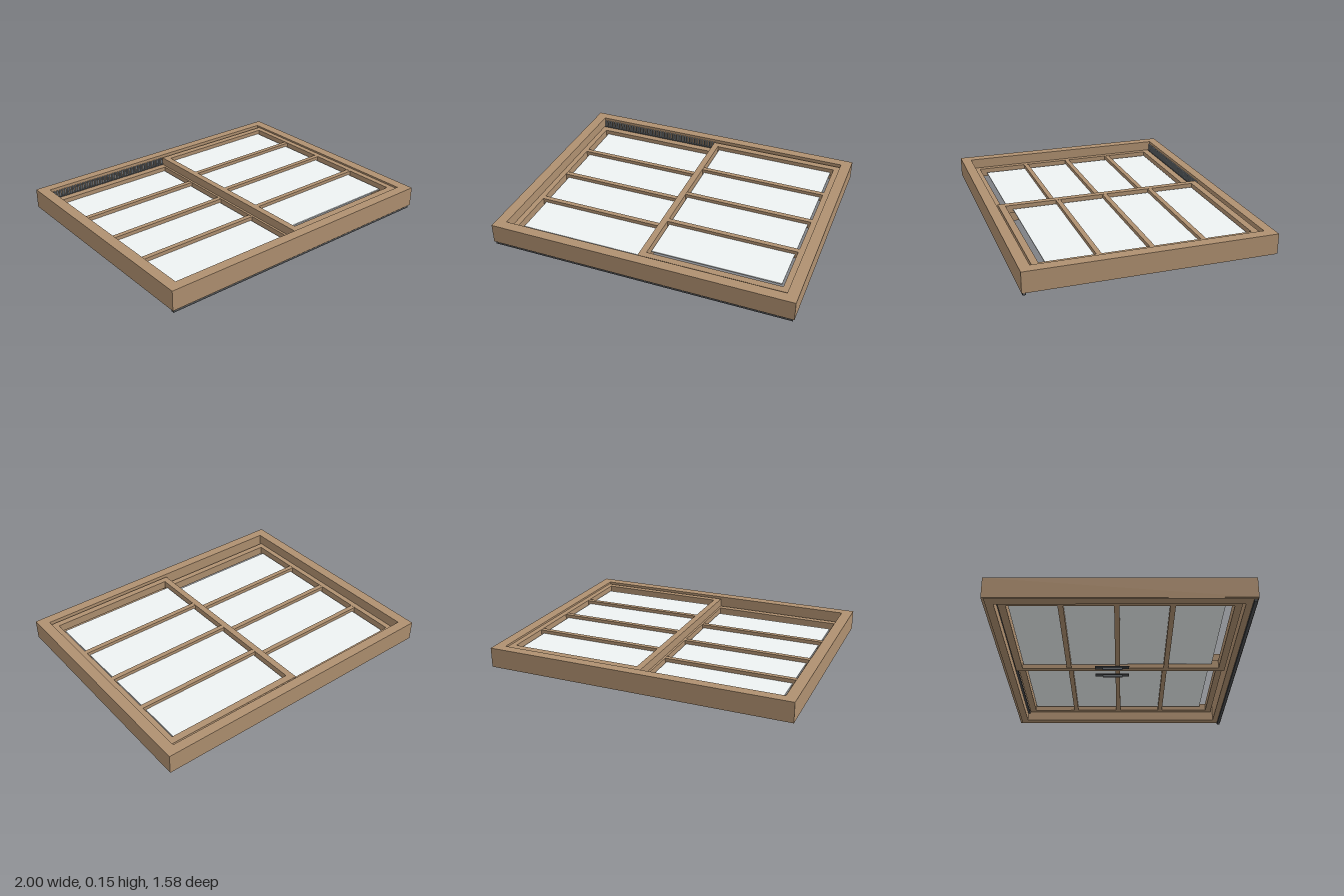
import * as THREE from 'three';

const wood = new THREE.MeshStandardMaterial({ color: 0xaf9070 });
const metal = new THREE.MeshStandardMaterial({ color: 0x4a4d50 });
const lightMetal = new THREE.MeshStandardMaterial({ color: 0x858b90 });
const pane = new THREE.MeshStandardMaterial({ color: 0xeef2f2 });

// Box given by its min and max on each axis
function box(parent, name, material, [x0, x1], [y0, y1], [z0, z1]) {
  const mesh = new THREE.Mesh(new THREE.BoxGeometry(x1 - x0, y1 - y0, z1 - z0), material);
  mesh.position.set((x0 + x1) / 2, (y0 + y1) / 2, (z0 + z1) / 2);
  mesh.name = name;
  parent.add(mesh);
}

// Rectangular ring lying flat, outer and opening given as [x0, x1, z0, z1]
function ring(parent, name, material, outer, hole, [y0, y1]) {
  const corners = ([x0, x1, z0, z1]) => [[x0, -z0], [x0, -z1], [x1, -z1], [x1, -z0]]
    .map(([x, y]) => new THREE.Vector2(x, y));
  const shape = new THREE.Shape(corners(outer));
  shape.holes.push(new THREE.Path(corners(hole).reverse()));
  const geometry = new THREE.ExtrudeGeometry(shape, { depth: y1 - y0, bevelEnabled: false });
  geometry.rotateX(-Math.PI / 2);
  const mesh = new THREE.Mesh(geometry, material);
  mesh.position.y = y0;
  mesh.name = name;
  parent.add(mesh);
}

// One sliding sash: frame, three glazing bars and a glass sheet
function sash(name, outer, hole, glassX, y) {
  const group = new THREE.Group();
  group.name = name;
  ring(group, 'sashFrame', wood, outer, hole, y);
  for (const z of [-0.346, -0.018, 0.308]) {
    box(group, 'glazingBar', wood, [hole[0], hole[1]], [y[0] + 0.001, y[1] - 0.001], [z - 0.016, z + 0.016]);
  }
  const mid = (y[0] + y[1]) / 2;
  box(group, 'glass', pane, glassX, [mid - 0.004, mid + 0.004], [-0.655, 0.617]);
  return group;
}

export function createModel() {
  const model = new THREE.Group();
  model.name = 'slidingWindow';

  // Outer frame and its thin inset base
  const opening = [-0.93, 0.93, -0.727, 0.723];
  ring(model, 'outerFrame', wood, [-1, 1, -0.79, 0.79], opening, [0.02, 0.15]);
  ring(model, 'frameBase', wood, [-0.995, 0.995, -0.775, 0.785], opening, [0.015, 0.02]);

  // Two sashes at different depths, overlapping at the middle
  model.add(sash('lowerSash', [-0.93, 0.015, -0.708, 0.708], [-0.893, -0.03, -0.662, 0.665], [-0.873, -0.04], [0.024, 0.082]));
  model.add(sash('upperSash', [-0.017, 0.93, -0.708, 0.708], [0.025, 0.892, -0.662, 0.665], [0.037, 0.873], [0.084, 0.138]));

  // Track along the back wall, with a toothed strip above the lower sash
  const track = new THREE.Group();
  track.name = 'track';
  box(track, 'trackRail', metal, [-0.929, 0.929], [0.07, 0.085], [-0.728, -0.711]);
  const teeth = 46;
  for (let i = 0; i < teeth; i++) {
    const x = -0.92 + (0.9 * i) / (teeth - 1);
    box(track, 'trackTooth', lightMetal, [x - 0.005, x + 0.005], [0.085, 0.13], [-0.728, -0.716]);
  }
  model.add(track);

  // Drip strip below the front edge
  box(model, 'dripStrip', metal, [-0.99, 0.99], [0, 0.015], [0.762, 0.782]);

  // Pull handles either side of the meeting stiles
  for (const x of [-0.062, 0.06]) {
    const handle = new THREE.Group();
    handle.name = 'handle';
    box(handle, 'handlePlate', metal, [x - 0.02, x + 0.02], [0.011, 0.018], [-0.17, 0.06]);
    box(handle, 'handleGrip', lightMetal, [x - 0.008, x + 0.008], [0, 0.011], [-0.12, 0.015]);
    model.add(handle);
  }
  return model;
}
